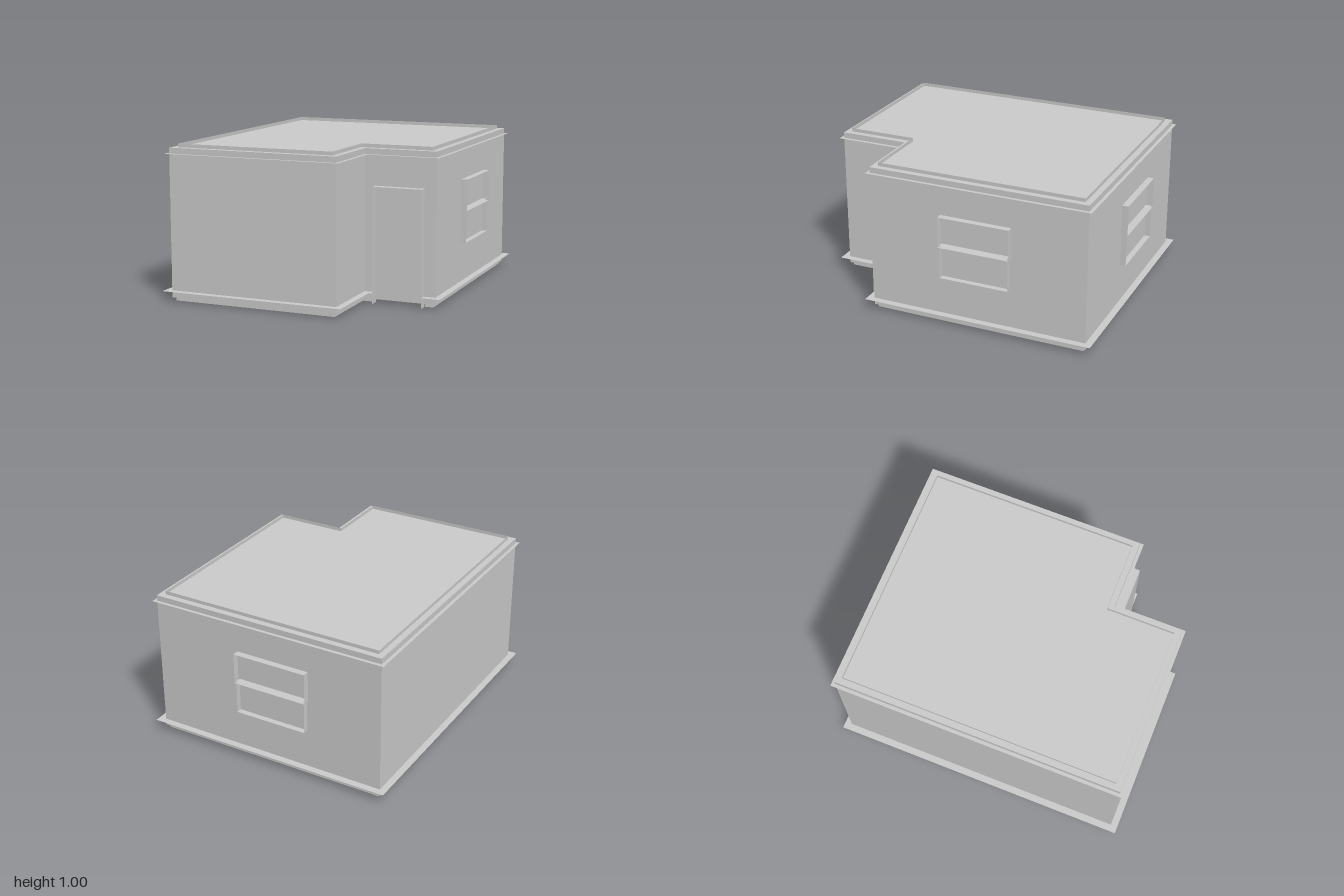
import * as THREE from 'three';

const plaster = new THREE.MeshStandardMaterial({ color: 0xcccccc });
plaster.name = 'pale grey plaster';
const trim = plaster.clone();
trim.name = 'pale grey trim sheet';
trim.side = THREE.DoubleSide;

// L-shaped plan, grown outward by d, as [x, z]; starts and ends at the notch front
const DOOR = { left: 0.4, right: 0.725, top: 0.745 };
function plan(d, doorGap = false) {
  const corners = [
    [0.8 + d, 0.5 + d], [0.8 + d, -0.955 - d], [-0.8 - d, -0.955 - d],
    [-0.8 - d, 0.955 + d], [0.33 + d, 0.955 + d], [0.33 + d, 0.5 + d],
  ];
  return doorGap
    ? [[DOOR.right, 0.5 + d], ...corners, [DOOR.left, 0.5 + d]]
    : [...corners, corners[0]];
}

// Thin sheet stretched between two matching 3D paths
function ribbon(name, a, b) {
  const pos = [];
  for (let i = 0; i < a.length - 1; i++) {
    pos.push(...a[i], ...b[i], ...b[i + 1], ...a[i], ...b[i + 1], ...a[i + 1]);
  }
  const geo = new THREE.BufferGeometry();
  geo.setAttribute('position', new THREE.Float32BufferAttribute(pos, 3));
  geo.computeVertexNormals();
  const mesh = new THREE.Mesh(geo, trim);
  mesh.name = name;
  return mesh;
}
const at = (path, y) => path.map(([x, z]) => [x, y, z]);

// Open frame standing out from a wall: path in (u, y), pushed forward by depth
function frame(name, path, depth) {
  return ribbon(name, path.map(([u, y]) => [u, y, -0.005]), path.map(([u, y]) => [u, y, depth]));
}

// Two-sash window, centred on u = 0, facing +z
function makeWindow(name, w) {
  const g = new THREE.Group();
  g.name = name;
  const h = w / 2, l = h - 0.008;
  g.add(frame('upperSash', [[-h, 0.538], [-h, 0.742], [h, 0.742], [h, 0.538], [-h, 0.538]], 0.043));
  g.add(frame('lowerSash', [[-l, 0.55], [-l, 0.328], [l, 0.328], [l, 0.55], [-l, 0.55]], 0.037));
  return g;
}

export function createModel() {
  const model = new THREE.Group();
  model.name = 'lShapedRoom';

  // Walls, flat roof and floor
  const shape = new THREE.Shape(plan(0).slice(0, -1).map(([x, z]) => new THREE.Vector2(x, -z)));
  const geo = new THREE.ExtrudeGeometry(shape, { depth: 0.955, bevelEnabled: false });
  geo.rotateX(-Math.PI / 2).translate(0, 0.022, 0);
  const walls = new THREE.Mesh(geo, plaster);
  walls.name = 'walls';
  model.add(walls);

  // Cornice: upright lip on the roof and a ledge around the wall top
  model.add(ribbon('roofLip', at(plan(-0.04), 0.94), at(plan(-0.04), 1)));
  model.add(ribbon('corniceLedge', at(plan(-0.04), 0.94), at(plan(0.022), 0.94)));

  // Skirting: lip under the floor and a wide ledge, broken at the door
  model.add(ribbon('baseLip', at(plan(-0.018, true), 0), at(plan(-0.018, true), 0.068)));
  model.add(ribbon('skirtingLedge', at(plan(-0.018, true), 0.068), at(plan(0.045, true), 0.068)));

  // Windows on the side and back walls
  const side = makeWindow('sideWindow', 0.475);
  side.rotation.y = Math.PI / 2;
  side.position.set(0.8, 0, -0.223);
  const back = makeWindow('backWindow', 0.505);
  back.rotation.y = Math.PI;
  back.position.set(-0.047, 0, -0.955);
  model.add(side, back);

  // Door frame in the notch
  const door = frame('doorFrame', [
    [DOOR.left, 0], [DOOR.left, DOOR.top], [DOOR.right, DOOR.top], [DOOR.right, 0],
  ], 0.048);
  door.position.z = 0.5;
  model.add(door);

  return model;
}
